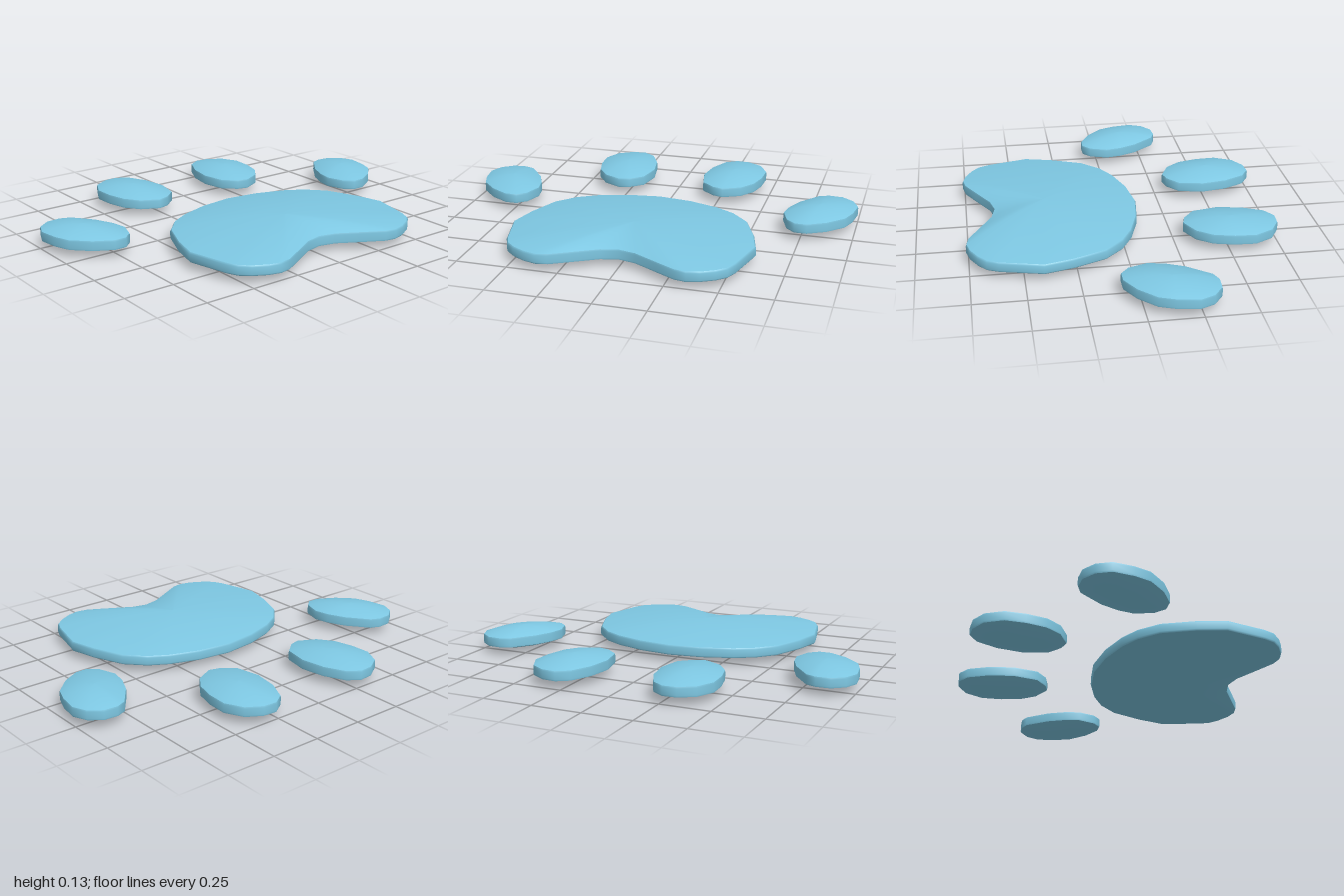
import * as THREE from 'three';

const material = new THREE.MeshStandardMaterial({ color: 0x7ec8e3 });

// Flip an outline across the x axis, keeping its winding
const mirror = (outline) => outline.map(([x, z]) => [x, -z]).reverse();

// Half outline of the big pad, from the notch round to the far edge
const padHalf = [
  [0.63, 0.085], [0.695, 0.2], [0.75, 0.3], [0.76, 0.355], [0.745, 0.415], [0.71, 0.48],
  [0.67, 0.525], [0.615, 0.55], [0.41, 0.6], [0.27, 0.565], [0.11, 0.5], [0.02, 0.415],
  [-0.035, 0.32], [-0.085, 0.17],
];
const padOutline = [[0.61, 0], ...padHalf, [-0.107, 0], ...mirror(padHalf)];

const outerToe = [
  [-0.23, -1], [-0.13, -0.985], [-0.05, -0.955], [0.03, -0.875], [0.08, -0.785], [0.08, -0.725],
  [0.04, -0.68], [-0.05, -0.65], [-0.13, -0.665], [-0.22, -0.705], [-0.33, -0.79],
  [-0.35, -0.84], [-0.345, -0.91], [-0.3, -0.97],
];
const innerToe = [
  [-0.62, -0.46], [-0.515, -0.455], [-0.415, -0.43], [-0.34, -0.375], [-0.295, -0.285],
  [-0.31, -0.23], [-0.365, -0.165], [-0.49, -0.14], [-0.615, -0.16], [-0.72, -0.21],
  [-0.76, -0.27], [-0.755, -0.34], [-0.71, -0.415],
];

// Smooth surface through scaled copies of an outline; rows are [scale, y], top to bottom
function ringSurface(outline, [cx, cz], rows) {
  const n = outline.length, positions = [], index = [];
  for (const [s, y] of rows)
    for (const [x, z] of outline) positions.push(cx + (x - cx) * s, y, cz + (z - cz) * s);
  for (let r = 0; r < rows.length - 1; r++)
    for (let j = 0; j < n; j++) {
      const a = r * n + j, b = r * n + ((j + 1) % n);
      if (rows[r][0] > 0) index.push(a, b, a + n);
      if (rows[r + 1][0] > 0) index.push(b, b + n, a + n);
    }
  const geometry = new THREE.BufferGeometry();
  geometry.setAttribute('position', new THREE.Float32BufferAttribute(positions, 3));
  geometry.setIndex(index);
  geometry.computeVertexNormals();
  return new THREE.Mesh(geometry, material);
}

// Flat cushion: domed top, upright rim and domed underside with creased edges between
function cushion(name, outline, centre, [bottom, rimLow, rimHigh, top]) {
  const steps = [0, 0.25, 0.5, 0.75, 0.9, 1];
  const dome = (rim, peak) => steps.map((s) => [s * 0.99, peak + (rim - peak) * s * s]);
  const parts = {
    Top: dome(rimHigh, top),
    Rim: [[0.99, rimHigh], [1, rimHigh - 0.008], [1, rimLow + 0.008], [0.99, rimLow]],
    Underside: dome(rimLow, bottom).reverse(),
  };
  const group = new THREE.Group();
  group.name = name;
  for (const [part, rows] of Object.entries(parts)) {
    const mesh = ringSurface(outline, centre, rows);
    mesh.name = name + part;
    group.add(mesh);
  }
  return group;
}

export function createModel() {
  const model = new THREE.Group();
  model.name = 'pawPrint';
  model.add(cushion('mainPad', padOutline, [0.36, 0], [0, 0.038, 0.088, 0.13]));

  // Two toes on each side
  const toeHeights = [0.013, 0.042, 0.09, 0.122];
  const toes = { outerToe: [outerToe, [-0.14, -0.825]], innerToe: [innerToe, [-0.53, -0.3]] };
  for (const [name, [outline, [cx, cz]]] of Object.entries(toes)) {
    model.add(cushion(name + 'Back', outline, [cx, cz], toeHeights));
    model.add(cushion(name + 'Front', mirror(outline), [cx, -cz], toeHeights));
  }
  return model;
}
